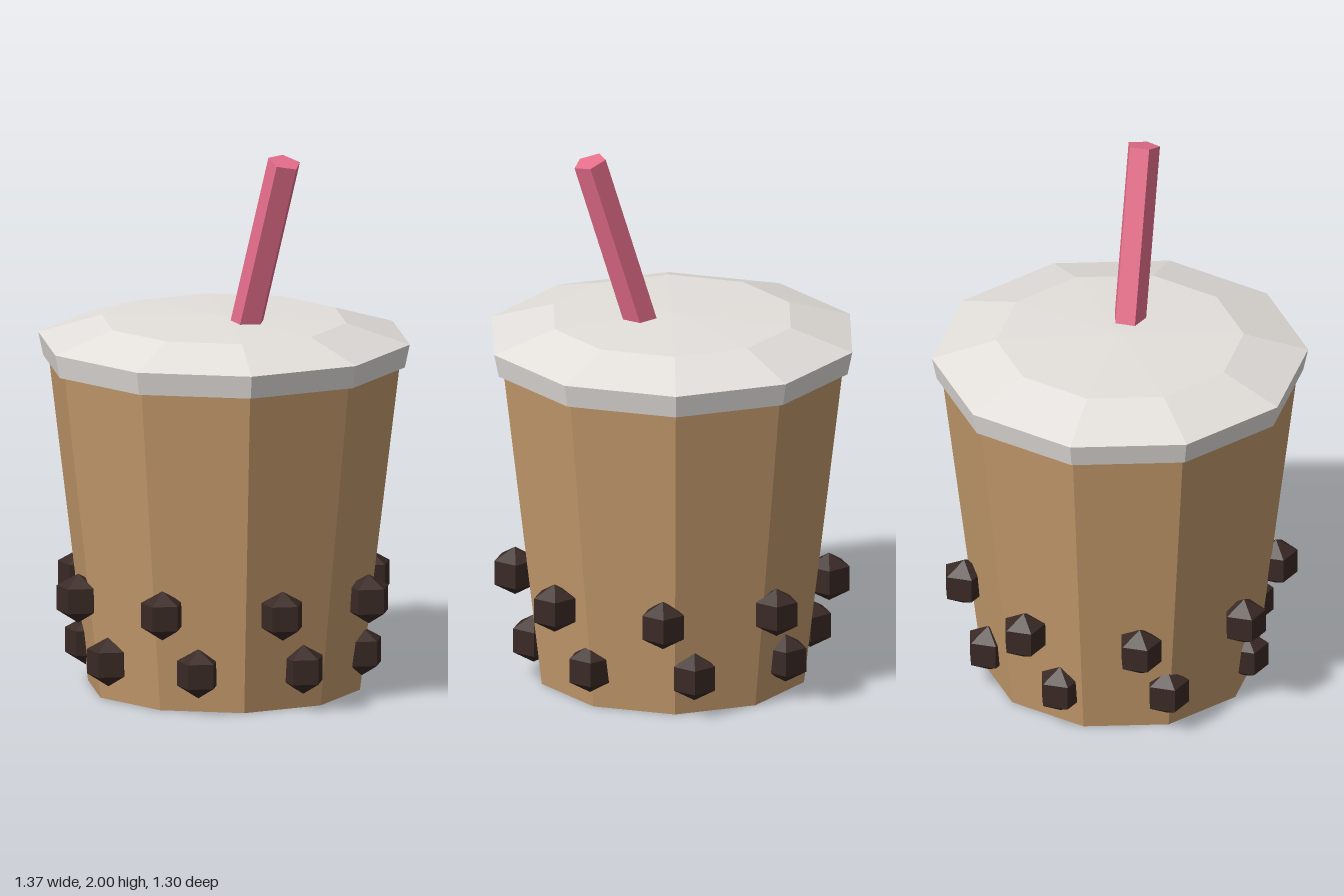
import * as THREE from 'three';

const SIDES = 10;
const START = Math.PI / 2; // puts a polygon corner on +x

const material = (color) => new THREE.MeshStandardMaterial({ color, flatShading: true });

function addMesh(parent, name, geometry, mat) {
  const mesh = new THREE.Mesh(geometry, mat);
  mesh.name = name;
  parent.add(mesh);
  return mesh;
}

export function createModel() {
  const group = new THREE.Group();
  group.name = 'bubbleTea';

  // Tapered ten-sided cup
  const cup = addMesh(group, 'cup',
    new THREE.CylinderGeometry(0.645, 0.5, 1.2, SIDES, 1, false, START), material(0xc49a6c));
  cup.position.y = 0.6;

  // Lid: flared rim and shallow dome
  const lidProfile = [[0, 1.2], [0.665, 1.2], [0.683, 1.285], [0.45, 1.357], [0, 1.37]]
    .map(([r, y]) => new THREE.Vector2(r, y));
  addMesh(group, 'lid', new THREE.LatheGeometry(lidProfile, SIDES, START), material(0xe4e0dc));

  // Tilted five-sided straw, its lower end hidden under the lid
  const tilt = 0.3, length = 0.9;
  const straw = addMesh(group, 'straw',
    new THREE.CylinderGeometry(0.062, 0.062, length, 5, 1, false, START), material(0xe86f8c));
  straw.rotation.z = -tilt;
  straw.position.set(0.315 - Math.sin(tilt) * length / 2, 1.985 - Math.cos(tilt) * length / 2, 0);

  // Two staggered rows of tapioca pearls
  const pearls = new THREE.Group();
  pearls.name = 'pearls';
  group.add(pearls);
  const pearlGeometry = new THREE.SphereGeometry(0.091, 5, 3, Math.PI);
  const pearlMaterial = material(0x3a2a25);
  const rows = [
    { name: 'lowerPearl', y: 0.147, radius: 0.508, offset: 10 },
    { name: 'upperPearl', y: 0.367, radius: 0.57, offset: 22.5 },
  ];
  for (const { name, y, radius, offset } of rows) {
    for (let i = 0; i < 8; i++) {
      const a = THREE.MathUtils.degToRad(offset + i * 45);
      addMesh(pearls, name + (i + 1), pearlGeometry, pearlMaterial)
        .position.set(radius * Math.cos(a), y, radius * Math.sin(a));
    }
  }

  return group;
}
